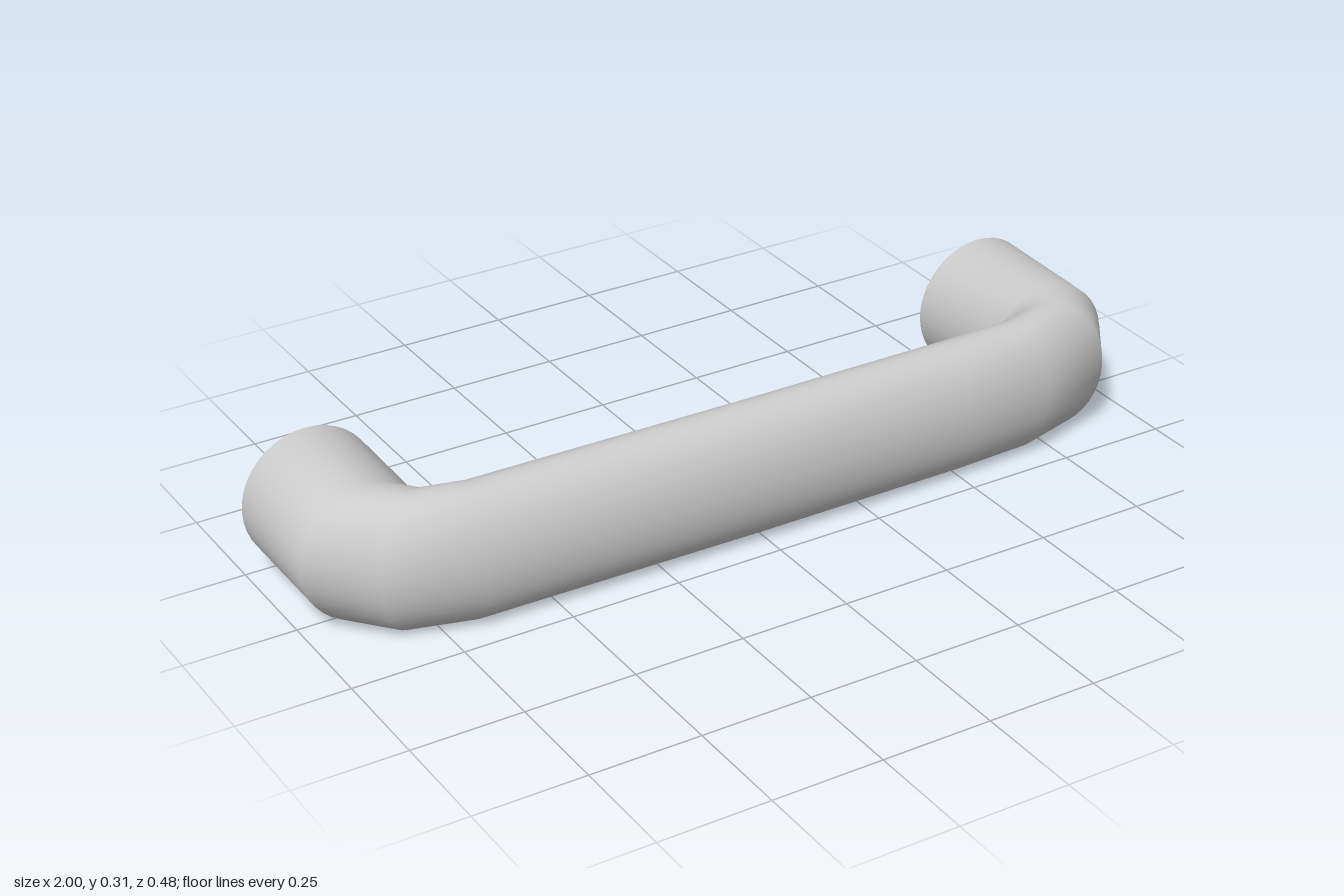
import * as THREE from 'three';
import { toCreasedNormals } from 'three/addons/utils/BufferGeometryUtils.js';

const HALF_HEIGHT = 0.155;
const SIDES = 40;

// Each section runs from an outer to an inner point in plan: [outerX, outerZ, innerX, innerZ]
const SECTIONS = [
  [-1, -0.24, -0.695, -0.24],
  [-1, 0.035, -0.7, 0.03],
  [-0.885, 0.17, -0.69, 0.045],
  [-0.685, 0.23, -0.65, 0.048],
  [0, 0.24, 0, 0.054],
  [0.5, 0.237, 0.5, 0.056],
  [0.71, 0.225, 0.64, 0.056],
  [0.9, 0.17, 0.68, 0.05],
  [0.988, 0.045, 0.69, 0.03],
  [1, -0.24, 0.692, -0.24],
];

// Skins a closed tube through elliptical sections, with flat end caps
function loftHandle(sections) {
  const positions = [];
  const index = [];
  for (const [ox, oz, ix, iz] of sections) {
    for (let j = 0; j < SIDES; j++) {
      const a = (j / SIDES) * Math.PI * 2;
      const c = Math.cos(a) / 2;
      positions.push(
        (ox + ix) / 2 + (ox - ix) * c,
        HALF_HEIGHT * (1 + Math.sin(a)),
        (oz + iz) / 2 + (oz - iz) * c
      );
    }
  }
  const last = sections.length - 1;
  const capCentre = (k) => {
    const [ox, oz, ix, iz] = sections[k];
    positions.push((ox + ix) / 2, HALF_HEIGHT, (oz + iz) / 2);
    return positions.length / 3 - 1;
  };
  const start = capCentre(0);
  const end = capCentre(last);

  for (let j = 0; j < SIDES; j++) {
    const n = (j + 1) % SIDES;
    for (let i = 0; i < last; i++) {
      const r = i * SIDES;
      const s = r + SIDES;
      index.push(r + j, s + j, s + n, r + j, s + n, r + n);
    }
    index.push(start, j, n, end, last * SIDES + n, last * SIDES + j);
  }
  const geometry = new THREE.BufferGeometry();
  geometry.setAttribute('position', new THREE.Float32BufferAttribute(positions, 3));
  geometry.setIndex(index);
  return toCreasedNormals(geometry, 0.8);
}

export function createModel() {
  const group = new THREE.Group();
  group.name = 'pullHandle';

  // Round legs bending into a flatter grip bar, in one piece
  const handle = new THREE.Mesh(
    loftHandle(SECTIONS),
    new THREE.MeshStandardMaterial({ color: 0xcccccc })
  );
  handle.name = 'handleBar';
  group.add(handle);
  return group;
}
